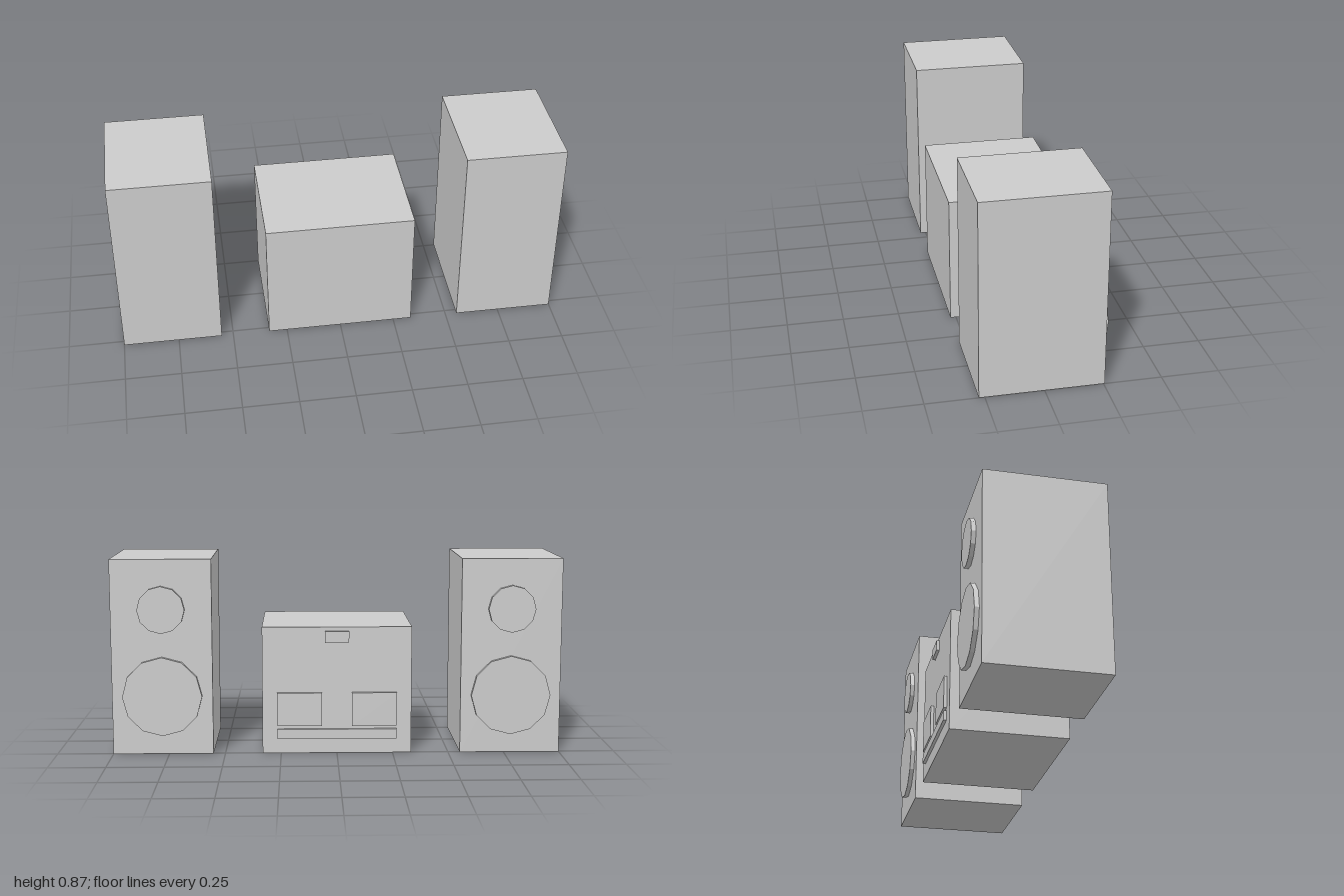
import * as THREE from 'three';

const BACK = -0.255; // plane carrying the raised details
const FRONT = 0.275;

export function createModel() {
  const model = new THREE.Group();
  model.name = 'stereoSystem';
  const material = new THREE.MeshStandardMaterial({ color: 0xcccccc, flatShading: true });

  // Box given by its limits on each axis
  function box(parent, name, x0, x1, y0, y1, z0, z1) {
    const mesh = new THREE.Mesh(new THREE.BoxGeometry(x1 - x0, y1 - y0, z1 - z0), material);
    mesh.position.set((x0 + x1) / 2, (y0 + y1) / 2, (z0 + z1) / 2);
    mesh.name = name;
    parent.add(mesh);
  }

  // Twelve-sided speaker disc standing proud of the cabinet
  function disc(parent, name, y, radius) {
    const depth = 0.02;
    const geometry = new THREE.CylinderGeometry(radius, radius, depth, 12).rotateX(Math.PI / 2);
    const mesh = new THREE.Mesh(geometry, material);
    mesh.position.set(0, y, BACK - depth / 2);
    mesh.name = name;
    parent.add(mesh);
  }

  // Pair of loudspeakers
  for (const side of [-1, 1]) {
    const speaker = new THREE.Group();
    speaker.name = side < 0 ? 'rightSpeaker' : 'leftSpeaker';
    speaker.position.x = side * 0.7765;
    box(speaker, 'speakerCabinet', -0.2235, 0.2235, 0, 0.873, BACK, FRONT);
    disc(speaker, 'tweeter', 0.65, 0.105);
    disc(speaker, 'woofer', 0.262, 0.177);
    model.add(speaker);
  }

  // Central unit with its raised panels
  const unit = new THREE.Group();
  unit.name = 'centralUnit';
  box(unit, 'unitCabinet', -0.333, 0.333, 0, 0.571, BACK, FRONT);
  const face = BACK - 0.014;
  box(unit, 'display', -0.054, 0.054, 0.502, 0.552, face, BACK);
  box(unit, 'rightDeck', -0.267, -0.067, 0.126, 0.276, face, BACK);
  box(unit, 'leftDeck', 0.067, 0.267, 0.126, 0.276, face, BACK);
  box(unit, 'buttonStrip', -0.267, 0.267, 0.067, 0.111, face, BACK);
  model.add(unit);

  return model;
}
